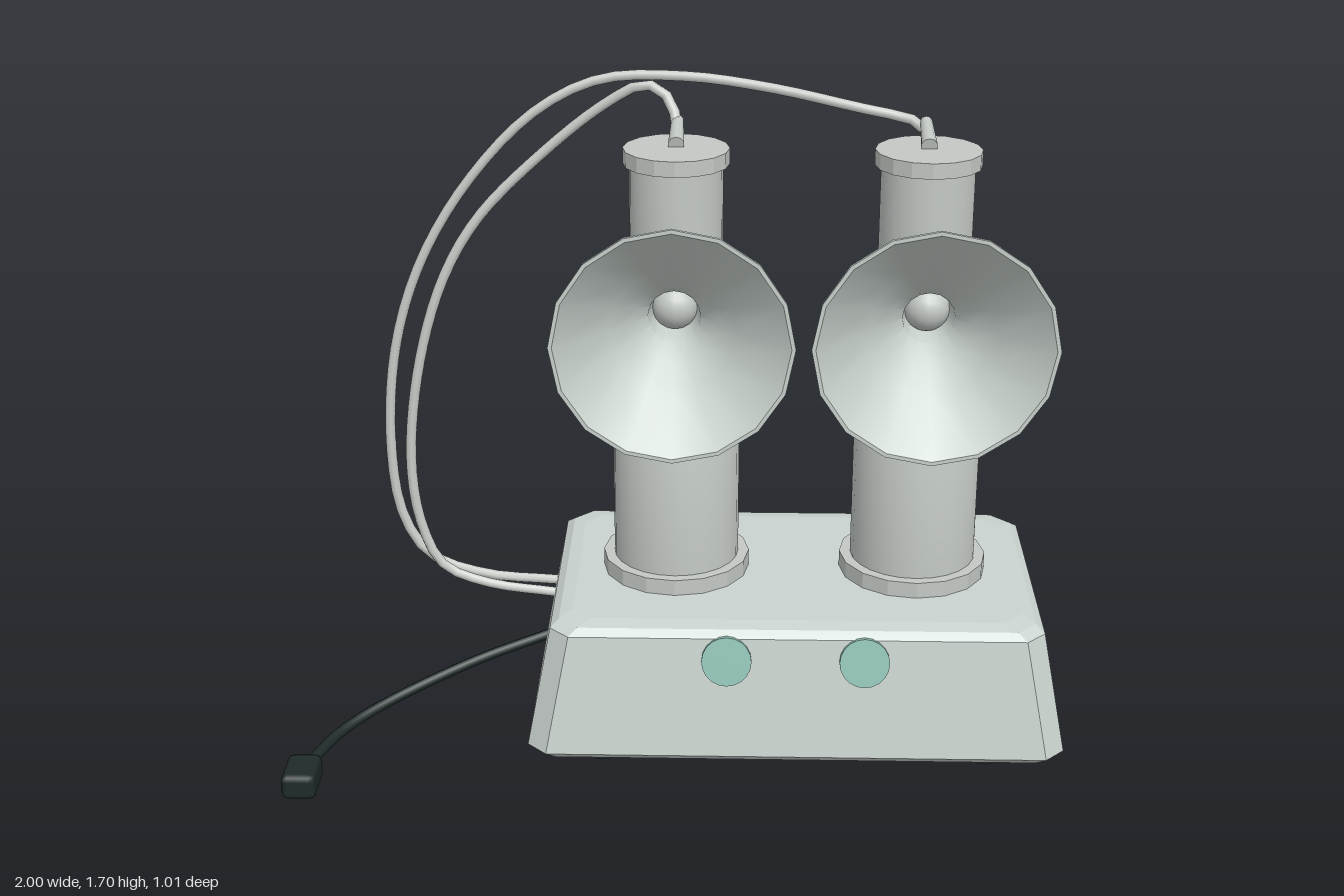
import * as THREE from 'three';
import { toCreasedNormals } from 'three/addons/utils/BufferGeometryUtils.js';
import { RoundedBoxGeometry } from 'three/addons/geometries/RoundedBoxGeometry.js';

const material = (name, color, extra = {}) => {
  const m = new THREE.MeshStandardMaterial({ color, ...extra });
  m.name = name;
  return m;
};
const V = (x, y, z) => new THREE.Vector3(x, y, z);

function part(parent, name, geometry, mat, x = 0, y = 0, z = 0) {
  const mesh = new THREE.Mesh(geometry, mat);
  mesh.name = name;
  mesh.position.set(x, y, z);
  parent.add(mesh);
  return mesh;
}

function lathe(profile, sides) {
  const g = new THREE.LatheGeometry(profile.map(([r, y]) => new THREE.Vector2(r, y)), sides);
  return toCreasedNormals(g, 0.6);
}

const tube = (points, radius, segments) =>
  new THREE.TubeGeometry(new THREE.CatmullRomCurve3(points), segments, radius, 8);

// Sloping box with cut corners: each level is [y, half width, half depth]
function chamferedBox(levels, cut) {
  const positions = [];
  const rings = levels.map(([y, w, d]) => [
    [w, -d + cut], [w - cut, -d], [-w + cut, -d], [-w, -d + cut],
    [-w, d - cut], [-w + cut, d], [w - cut, d], [w, d - cut],
  ].map(([x, z]) => [x, y, z]));
  const tri = (a, b, c) => positions.push(...a, ...b, ...c);
  const top = rings.length - 1;
  for (let j = 0; j < 8; j++) {
    const k = (j + 1) % 8;
    for (let i = 0; i < top; i++) {
      tri(rings[i][j], rings[i][k], rings[i + 1][k]);
      tri(rings[i][j], rings[i + 1][k], rings[i + 1][j]);
    }
    tri([0, levels[top][0], 0], rings[top][j], rings[top][k]);
    tri([0, levels[0][0], 0], rings[0][k], rings[0][j]);
  }
  const g = new THREE.BufferGeometry();
  g.setAttribute('position', new THREE.Float32BufferAttribute(positions, 3));
  g.computeVertexNormals();
  return g;
}

export function createModel() {
  const model = new THREE.Group();
  model.name = 'twinHornPump';
  const casing = material('casing grey', 0xcad3cf);
  const metal = material('column grey', 0xc3c9c5);
  const hornGrey = material('horn grey', 0xc8d1cc, { side: THREE.DoubleSide });
  const hoseGrey = material('hose grey', 0xc9cec9);
  const teal = material('knob teal', 0x8fc0b4);
  const black = material('rubber black', 0x1f2b2a);

  // Casing
  part(model, 'base', chamferedBox([
    [0.05, 0.67, 0.405], [0.07, 0.695, 0.425], [0.385, 0.635, 0.376],
    [0.403, 0.613, 0.357], [0.41, 0.58, 0.315],
  ], 0.05), casing, 0.305, 0, -0.077);

  // Feet
  for (const x of [-0.2, 0.805])
    for (const z of [0.215, -0.365])
      part(model, 'foot', new THREE.CylinderGeometry(0.04, 0.04, 0.06, 12), black, x, 0.03, z);

  // Control knobs on the sloping front
  for (const x of [0.125, 0.477]) {
    const knob = part(model, 'knob', new THREE.CylinderGeometry(0.064, 0.064, 0.04, 20), teal, x, 0.328, 0.305);
    knob.rotation.x = Math.PI / 2 - 0.22;
  }

  // Sockets on the back
  for (const x of [0.73, 0.855]) {
    const socket = part(model, 'socket', new THREE.CylinderGeometry(0.024, 0.024, 0.03, 12), metal, x, 0.23, -0.478);
    socket.rotation.x = Math.PI / 2 + 0.15;
  }

  // Two identical columns with horns
  const bottle = lathe([
    [0.166, 0.44], [0.166, 0.8], [0.155, 0.845], [0.125, 0.885], [0.095, 0.912], [0.088, 0.93],
    [0.088, 1.0], [0.076, 1.15], [0.074, 1.26],
  ], 24);
  const jar = lathe([
    [0, 1.245], [0.125, 1.245], [0.125, 1.265], [0.119, 1.27], [0.119, 1.53],
  ], 24);
  const flange = toCreasedNormals(new THREE.CylinderGeometry(0.195, 0.195, 0.05, 16), 0.3);
  const cap = toCreasedNormals(new THREE.CylinderGeometry(0.135, 0.135, 0.04, 16), 0.3);
  const ring = new THREE.TorusGeometry(0.085, 0.009, 8, 24).rotateX(Math.PI / 2);
  const horn = lathe([
    [0.056, 0], [0.066, 0.05], [0.074, 0.1], [0.108, 0.14], [0.165, 0.205], [0.298, 0.33], [0.298, 0.34],
    [0.288, 0.34], [0.158, 0.215], [0.1, 0.15], [0.066, 0.105], [0.058, 0.05], [0.05, 0],
  ], 16).rotateX(Math.PI / 2);

  for (const x of [-0.013, 0.62]) {
    const column = new THREE.Group();
    column.name = 'column';
    column.position.set(x, 0, -0.088);
    model.add(column);
    part(column, 'flange', flange, metal, 0, 0.428, 0);
    part(column, 'bottle', bottle, metal);
    for (const y of [0.945, 0.968, 0.991]) part(column, 'neckRing', ring, metal, 0, y, 0);
    part(column, 'jar', jar, metal);
    part(column, 'cap', cap, metal, 0, 1.546, 0);
    const nozzle = part(column, 'nozzle', new THREE.CylinderGeometry(0.016, 0.021, 0.13, 10), metal, 0, 1.588, -0.065);
    nozzle.rotation.x = -Math.PI / 2 + 0.23;
    part(column, 'horn', horn, hornGrey, 0, 1.187, 0.088);
    part(column, 'hornBall', new THREE.SphereGeometry(0.06, 16, 12), metal, 0, 1.187, 0.11);
  }

  // Hoses from the nozzles round to the side of the casing
  part(model, 'innerHose', tube([
    V(-0.013, 1.585, -0.19), V(-0.02, 1.62, -0.22), V(-0.05, 1.67, -0.24), V(-0.1, 1.685, -0.255),
    V(-0.2, 1.63, -0.275), V(-0.36, 1.5, -0.29), V(-0.54, 1.32, -0.285), V(-0.64, 1.15, -0.275),
    V(-0.715, 0.9, -0.268), V(-0.747, 0.62, -0.265), V(-0.725, 0.43, -0.265), V(-0.67, 0.31, -0.266),
    V(-0.55, 0.255, -0.268), V(-0.35, 0.225, -0.27),
  ], 0.014, 44), hoseGrey);
  part(model, 'outerHose', tube([
    V(0.62, 1.585, -0.19), V(0.6, 1.6, -0.225), V(0.44, 1.63, -0.26), V(0.22, 1.665, -0.315),
    V(0, 1.685, -0.35), V(-0.22, 1.67, -0.373), V(-0.39, 1.585, -0.373), V(-0.57, 1.4, -0.368),
    V(-0.71, 1.17, -0.362), V(-0.79, 0.92, -0.358), V(-0.815, 0.63, -0.355), V(-0.79, 0.42, -0.355),
    V(-0.72, 0.3, -0.356), V(-0.57, 0.24, -0.357), V(-0.35, 0.22, -0.358),
  ], 0.014, 48), hoseGrey);

  // Power lead and plug
  part(model, 'powerLead', tube([
    V(-0.36, 0.185, -0.1), V(-0.56, 0.14, -0.02), V(-0.79, 0.08, 0.115),
    V(-0.89, 0.058, 0.225), V(-0.955, 0.053, 0.4),
  ], 0.014, 28), black);
  part(model, 'plug', new RoundedBoxGeometry(0.088, 0.068, 0.125, 1, 0.016), black, -0.956, 0.053, 0.445);

  return model;
}
